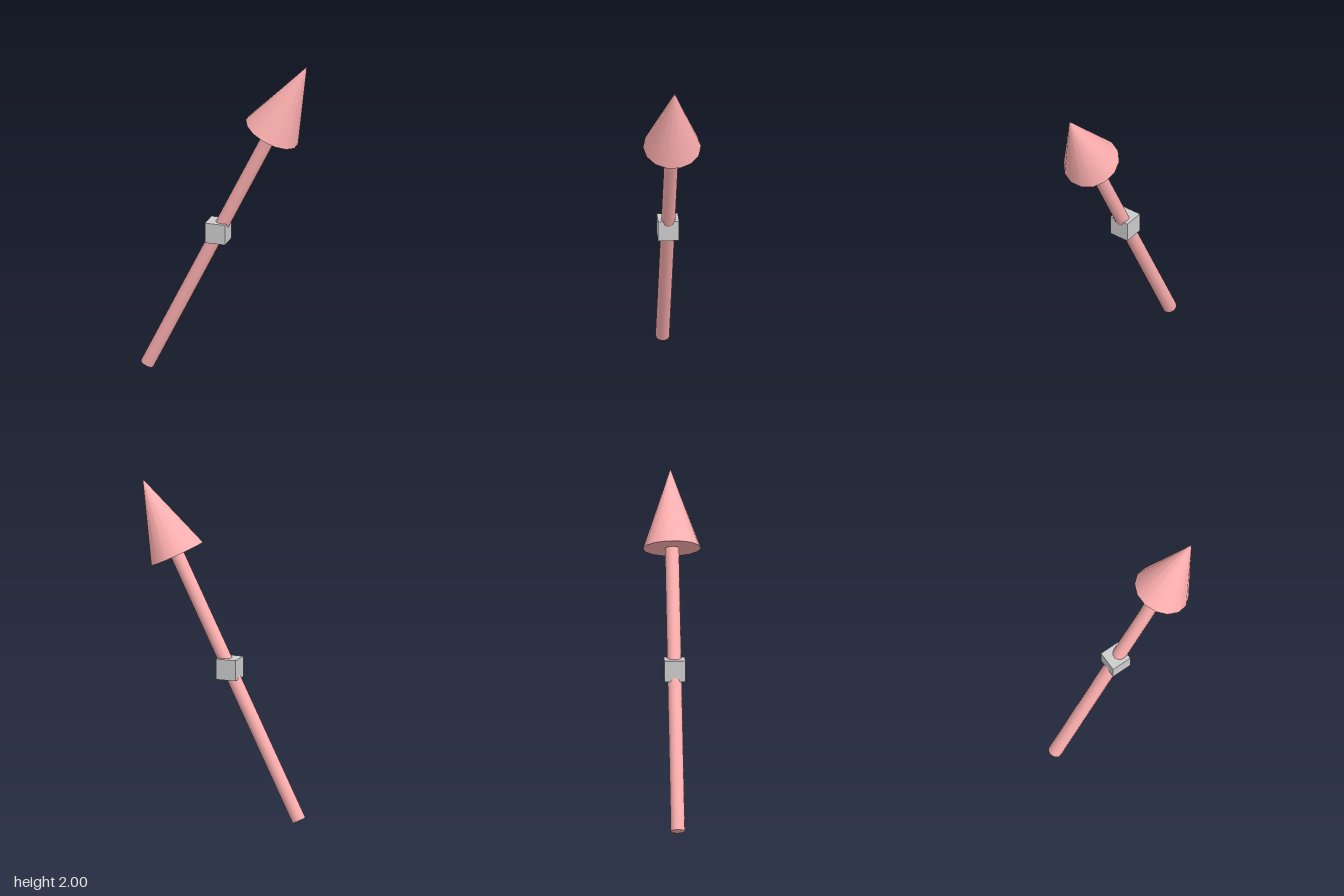
import * as THREE from 'three';

export function createModel() {
  const model = new THREE.Group();
  const pink = new THREE.MeshStandardMaterial({ color: 0xffb0b0 });
  const grey = new THREE.MeshStandardMaterial({ color: 0xcccccc });

  const tail = new THREE.Vector3(-0.475, 0.019, 0);
  const tip = new THREE.Vector3(0.51, 2, 0);
  const length = tip.distanceTo(tail);
  const headLength = 0.486;
  const shaftLength = length - headLength;
  const sides = 14;

  // Arrow, built upright from its tail and then leaned towards the tip
  const arrow = new THREE.Group();
  arrow.name = 'arrow';
  arrow.position.copy(tail);
  arrow.quaternion.setFromUnitVectors(
    new THREE.Vector3(0, 1, 0),
    tip.clone().sub(tail).normalize()
  );
  model.add(arrow);

  // Straight rod
  const shaft = new THREE.Mesh(new THREE.CylinderGeometry(0.042, 0.042, shaftLength, sides), pink);
  shaft.name = 'shaft';
  shaft.position.y = shaftLength / 2;
  arrow.add(shaft);

  // Pointed cone at the top
  const head = new THREE.Mesh(new THREE.ConeGeometry(0.171, headLength, sides), pink);
  head.name = 'arrowHead';
  head.position.y = shaftLength + headLength / 2;
  arrow.add(head);

  // Upright cube around the middle of the rod
  const cube = new THREE.Mesh(new THREE.BoxGeometry(0.124, 0.124, 0.124), grey);
  cube.name = 'centreCube';
  cube.position.set(-0.038, 0.904, 0);
  model.add(cube);

  return model;
}
